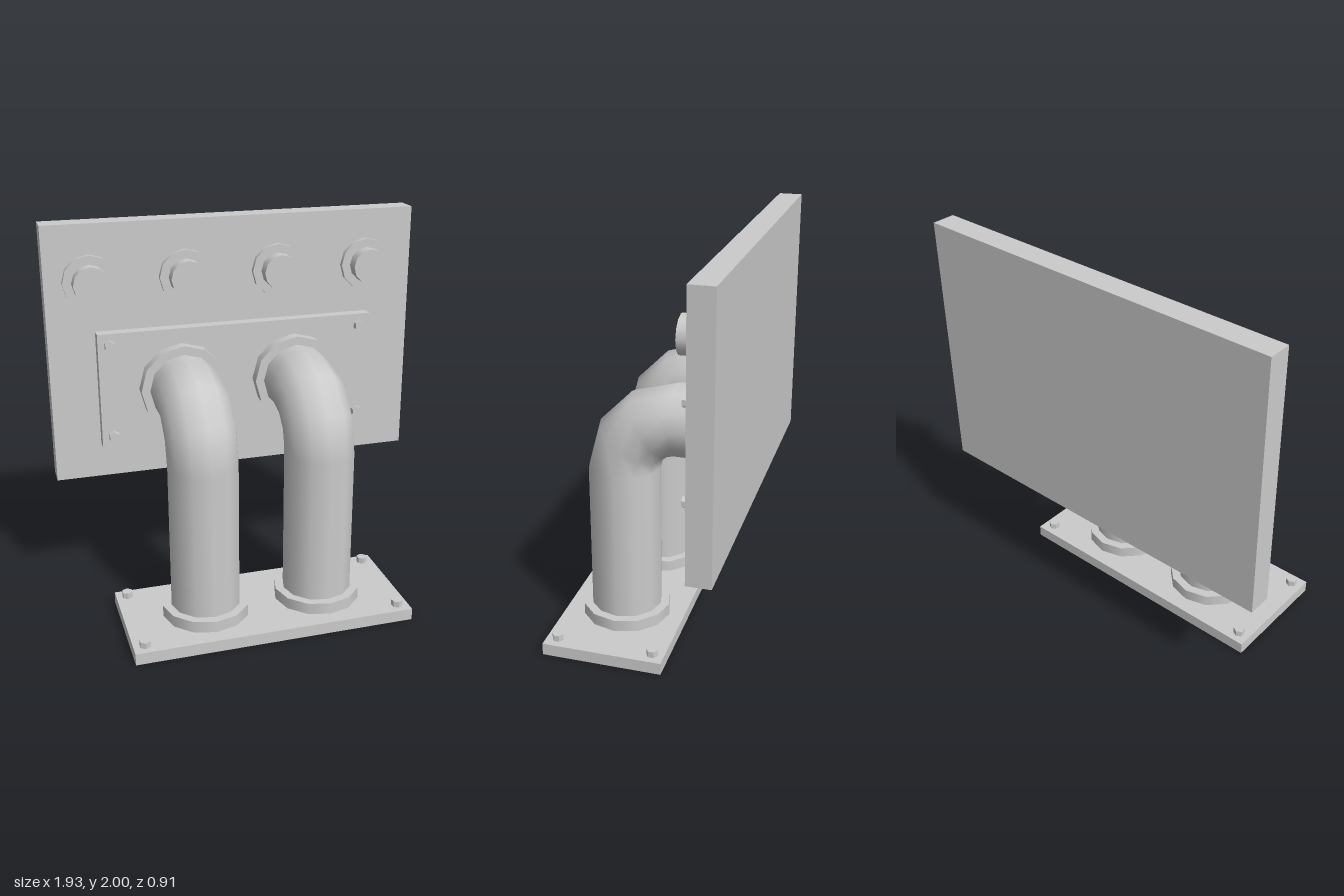
import * as THREE from 'three';

const SIDES = 12;
const PIPE_X = [-0.303, 0.301];
const PIPE_R = 0.18, BEND_R = 0.27;
const BASE_Z = 0.151, WALL_Y = 1.155, PANEL_Z = -0.335;

const grey = new THREE.MeshStandardMaterial({ color: 0xcccccc });
const faceted = new THREE.MeshStandardMaterial({ color: 0xcccccc, flatShading: true });
const pipeMat = new THREE.MeshStandardMaterial({ color: 0xcccccc, side: THREE.DoubleSide });

function add(parent, name, geometry, x, y, z, material = grey) {
  const mesh = new THREE.Mesh(geometry, material);
  mesh.name = name;
  mesh.position.set(x, y, z);
  parent.add(mesh);
  return mesh;
}

// Upright disc whose underside sits at y = 0
function disc(radius, height, sides = SIDES) {
  return new THREE.CylinderGeometry(radius, radius, height, sides).translate(0, height / 2, 0);
}

// Bolted plate with a flange for each pipe, lying flat and facing +y
function mountingPlate(name) {
  const group = new THREE.Group();
  group.name = name;
  add(group, 'plate', new THREE.BoxGeometry(1.455, 0.062, 0.605), -0.002, 0.031, 0);
  for (const x of PIPE_X) add(group, 'flange', disc(0.225, 0.06), x, 0.062, 0);
  for (const x of [-0.67, 0.664])
    for (const z of [-0.243, 0.243])
      add(group, 'bolt', disc(0.029, 0.032, 6), x, 0.062, z, faceted);
  return group;
}

// Vertical pipe, quarter elbow and short run into the wall
function bentPipe(x) {
  const group = new THREE.Group();
  group.name = 'pipe';
  group.position.x = x;
  const bendY = WALL_Y - BEND_R, bendZ = BASE_Z - BEND_R;
  const tube = (length) =>
    new THREE.CylinderGeometry(PIPE_R, PIPE_R, length, SIDES, 1, true).translate(0, length / 2, 0);

  add(group, 'verticalRun', tube(bendY - 0.06), 0, 0.06, BASE_Z, pipeMat);
  const elbow = new THREE.TorusGeometry(BEND_R, PIPE_R, SIDES, 3, Math.PI / 2);
  add(group, 'elbow', elbow, 0, bendY, bendZ, pipeMat).rotation.y = -Math.PI / 2;
  const runLength = bendZ - PANEL_Z - 0.06;
  add(group, 'wallRun', tube(runLength), 0, WALL_Y, bendZ, pipeMat).rotation.x = -Math.PI / 2;
  return group;
}

// Round knob on a wider collar, facing +y
function knob(x) {
  const group = new THREE.Group();
  group.name = 'knob';
  add(group, 'collar', disc(0.135, 0.026), 0, 0, 0);
  add(group, 'cap', disc(0.09, 0.091), 0, 0, 0);
  group.position.set(x, 1.715, PANEL_Z);
  group.rotation.x = Math.PI / 2;
  return group;
}

export function createModel() {
  const model = new THREE.Group();
  model.name = 'pipePanel';

  // Back panel
  add(model, 'wallPanel', new THREE.BoxGeometry(1.935, 1.33, 0.119), -0.001, 1.335, PANEL_Z - 0.0595);

  // Floor and wall plates
  const floorPlate = mountingPlate('floorPlate');
  floorPlate.position.z = BASE_Z;
  const wallPlate = mountingPlate('wallPlate');
  wallPlate.position.set(0, WALL_Y, PANEL_Z);
  wallPlate.rotation.x = Math.PI / 2;
  model.add(floorPlate, wallPlate);

  // Pipes and row of knobs
  for (const x of PIPE_X) model.add(bentPipe(x));
  for (let i = 0; i < 4; i++) model.add(knob(-0.745 + i * 0.485));

  return model;
}
